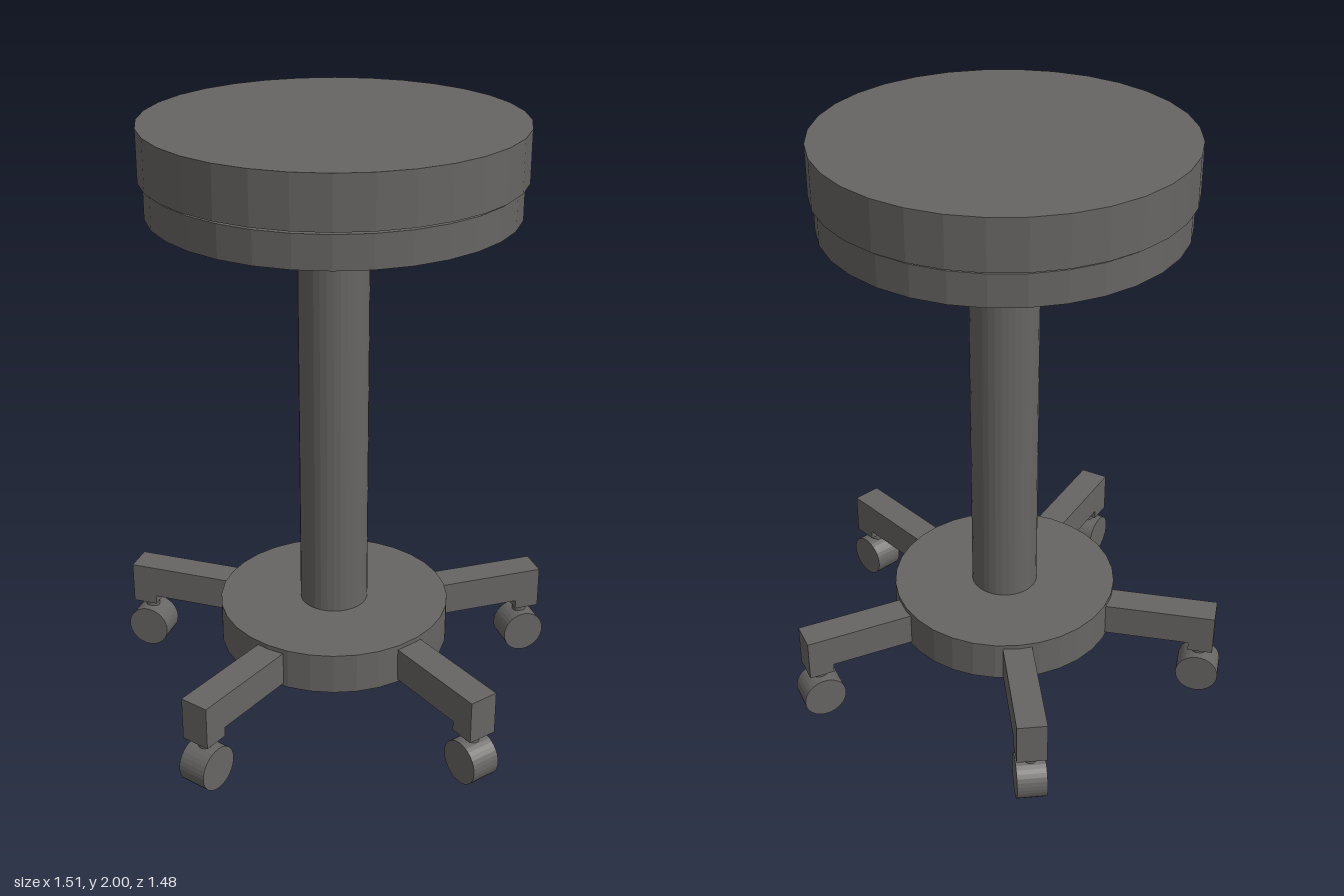
import * as THREE from 'three';

export function createModel() {
  const model = new THREE.Group();
  model.name = 'rollingStool';
  const darkGrey = new THREE.MeshStandardMaterial({ color: 0x676563, flatShading: true });
  darkGrey.name = 'darkGrey';

  const add = (parent, name, geometry, x, y, z) => {
    const mesh = new THREE.Mesh(geometry, darkGrey);
    mesh.name = name;
    mesh.position.set(x, y, z);
    parent.add(mesh);
    return mesh;
  };
  // Upright disc or post spanning two heights
  const disc = (parent, name, radius, bottom, top, z = 0, sides = 32) =>
    add(parent, name, new THREE.CylinderGeometry(radius, radius, top - bottom, sides), 0, (bottom + top) / 2, z);

  // Seat, column and hub share one axis
  const stool = new THREE.Group();
  stool.name = 'stool';
  stool.position.set(-0.006, 0, 0.056);
  model.add(stool);
  disc(stool, 'seatCushion', 0.6, 1.835, 2);
  disc(stool, 'seatPlate', 0.585, 1.72, 1.825);
  disc(stool, 'column', 0.115, 0.33, 1.73);
  disc(stool, 'baseHub', 0.39, 0.2, 0.34);

  // Five legs, each slightly off the hub's axis: [sideways, outward]
  const shifts = [[0, 0], [-0.008, -0.013], [-0.028, -0.01], [-0.024, -0.005], [0.036, -0.012]];
  shifts.forEach(([side, out], i) => {
    const leg = new THREE.Group();
    leg.name = 'leg' + (i + 1);
    const angle = (i * Math.PI * 2) / 5;
    leg.rotation.y = -angle;
    const c = Math.cos(angle), s = Math.sin(angle);
    leg.position.set(side * c + out * s, 0, side * s - out * c);
    stool.add(leg);

    add(leg, 'arm', new THREE.BoxGeometry(0.1, 0.115, 0.472), 0, 0.2675, -0.536);
    add(leg, 'armFoot', new THREE.BoxGeometry(0.1, 0.04, 0.086), 0, 0.198, -0.729);
    disc(leg, 'casterStem', 0.024, 0.13, 0.18, -0.723, 16);
    const wheel = add(leg, 'casterWheel', new THREE.CylinderGeometry(0.074, 0.074, 0.1, 32), 0, 0.074, -0.723);
    wheel.rotation.z = Math.PI / 2;
  });
  return model;
}
